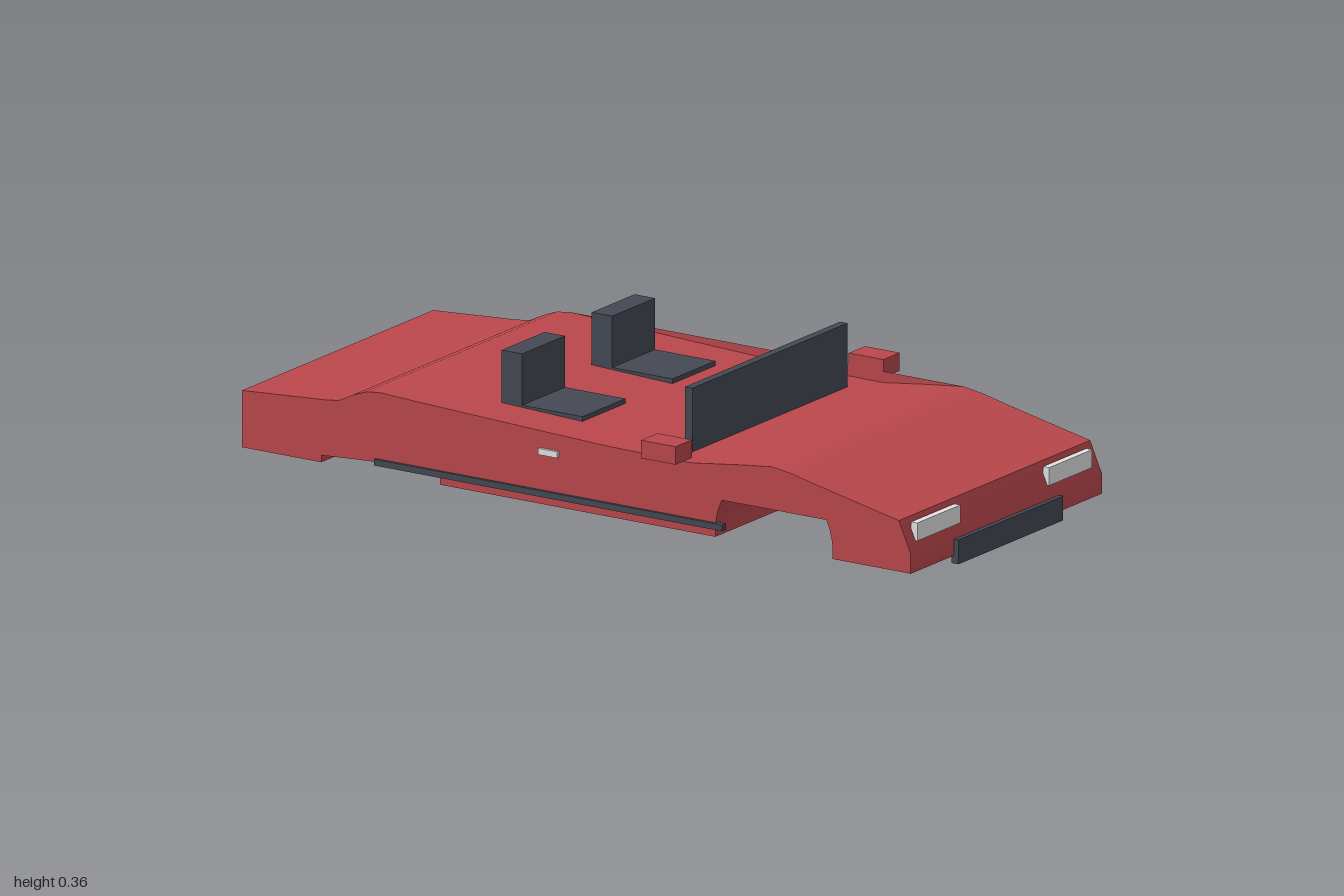
import * as THREE from 'three';
import { toCreasedNormals } from 'three/addons/utils/BufferGeometryUtils.js';

const mat = (name, color) => {
  const m = new THREE.MeshStandardMaterial({ color });
  m.name = name;
  return m;
};

const toShape = (pts) => new THREE.Shape(pts.map(([x, y]) => new THREE.Vector2(x, y)));

// Half circle over a wheel, from its rear end to its front end
const wheelArc = (cx, cy, r, steps = 20) =>
  Array.from({ length: steps + 1 }, (_, i) => {
    const a = Math.PI * (1 - i / steps);
    return [cx + r * Math.cos(a), cy + r * Math.sin(a)];
  });

export function createModel() {
  const car = new THREE.Group();
  car.name = 'openCar';

  const red = mat('redPaint', 0xba474c);
  const dark = mat('darkTrim', 0x434953);
  const light = mat('lightGrey', 0xe2e2e2);
  const amber = mat('tailLampAmber', 0xc48a6e);

  const add = (name, geometry, material) => {
    const mesh = new THREE.Mesh(geometry, material);
    mesh.name = name;
    car.add(mesh);
    return mesh;
  };

  // Box given by its minimum and maximum on each axis
  const box = (name, material, [x0, x1], [y0, y1], [z0, z1]) => {
    const mesh = add(name, new THREE.BoxGeometry(x1 - x0, y1 - y0, z1 - z0), material);
    mesh.position.set((x0 + x1) / 2, (y0 + y1) / 2, (z0 + z1) / 2);
  };

  // Body: side profile with round wheel arches, extruded across the car
  const half = 0.42;
  const deck = [
    [-0.58, 0.226], [-0.48, 0.221], [-0.07, 0.205], [0.1, 0.199],
    [0.34, 0.197], [0.48, 0.215], [0.58, 0.226],
  ];
  const rearArc = wheelArc(-0.576, 0.038, 0.175);
  const frontArc = wheelArc(0.584, 0.038, 0.173);
  const profile = [
    [-0.985, 0.02],
    [-0.751, 0.02], ...rearArc, [-0.401, 0.02],
    [0.411, 0.02], ...frontArc, [0.757, 0.02],
    [0.987, 0.02], [0.987, 0.07], [0.952, 0.15], [0.7, 0.203], [0.64, 0.217],
    ...[...deck].reverse(),
    [-0.62, 0.221], [-0.66, 0.206], [-0.7, 0.186], [-0.74, 0.181], [-0.985, 0.165],
  ];
  const bodyGeo = new THREE.ExtrudeGeometry(toShape(profile), { depth: 2 * half, bevelEnabled: false });
  bodyGeo.translate(0, 0, -half);
  add('body', toCreasedNormals(bodyGeo, 0.5), red);

  // Shallow inner rims closing the dip of the deck, each facing inward
  for (const s of [1, -1]) {
    const rim = add('deckRim', new THREE.ShapeGeometry(toShape(deck.map(([x, y]) => [-s * x, y]))), red);
    rim.position.z = s * half;
    if (s > 0) rim.rotation.y = Math.PI;
  }

  // Skirts over the wheel arches on the +z side
  const skirts = [
    ['rearArchSkirt', [...rearArc, [-0.401, 0.058]]],
    ['frontArchSkirt', frontArc.filter(([, y]) => y > 0.115)],
  ];
  for (const [name, pts] of skirts) {
    add(name, new THREE.ShapeGeometry(toShape(pts)), red).position.z = half;
  }

  // Windscreen
  box('windscreen', dark, [0.268, 0.29], [0.195, 0.36], [-0.34, 0.34]);

  // Parts repeated on both sides
  for (const s of [1, -1]) {
    const span = (a, b) => (s > 0 ? [a, b] : [-b, -a]);
    box('seatBack', dark, [-0.305, -0.245], [0.2, 0.348], span(0.103, 0.292));
    box('seatCushion', dark, [-0.25, -0.067], [0.195, 0.217], span(0.103, 0.292));
    box('wingMirror', red, [0.24, 0.342], [0.21, 0.256], span(0.42, 0.492));
    box('sideTrim', dark, [-0.59, 0.436], [0.04, 0.056], span(0.41, 0.428));
    box('doorHandle', light, [-0.107, -0.05], [0.147, 0.163], span(0.41, 0.428));
    box('headlight', light, [0.964, 0.982], [0.094, 0.14], span(0.195, 0.384));
    box('tailLampHousing', light, [-0.994, -0.98], [0.088, 0.15], span(0.2, 0.384));
    box('tailLampLens', amber, [-0.998, -0.994], [0.088, 0.15], span(0.2, 0.384));
  }

  // Front bumper and rear plate
  box('frontBumper', dark, [0.98, 1], [0, 0.062], [-0.23, 0.23]);
  box('rearPlate', light, [-1, -0.98], [0.05, 0.1], [-0.068, 0.068]);

  return car;
}
